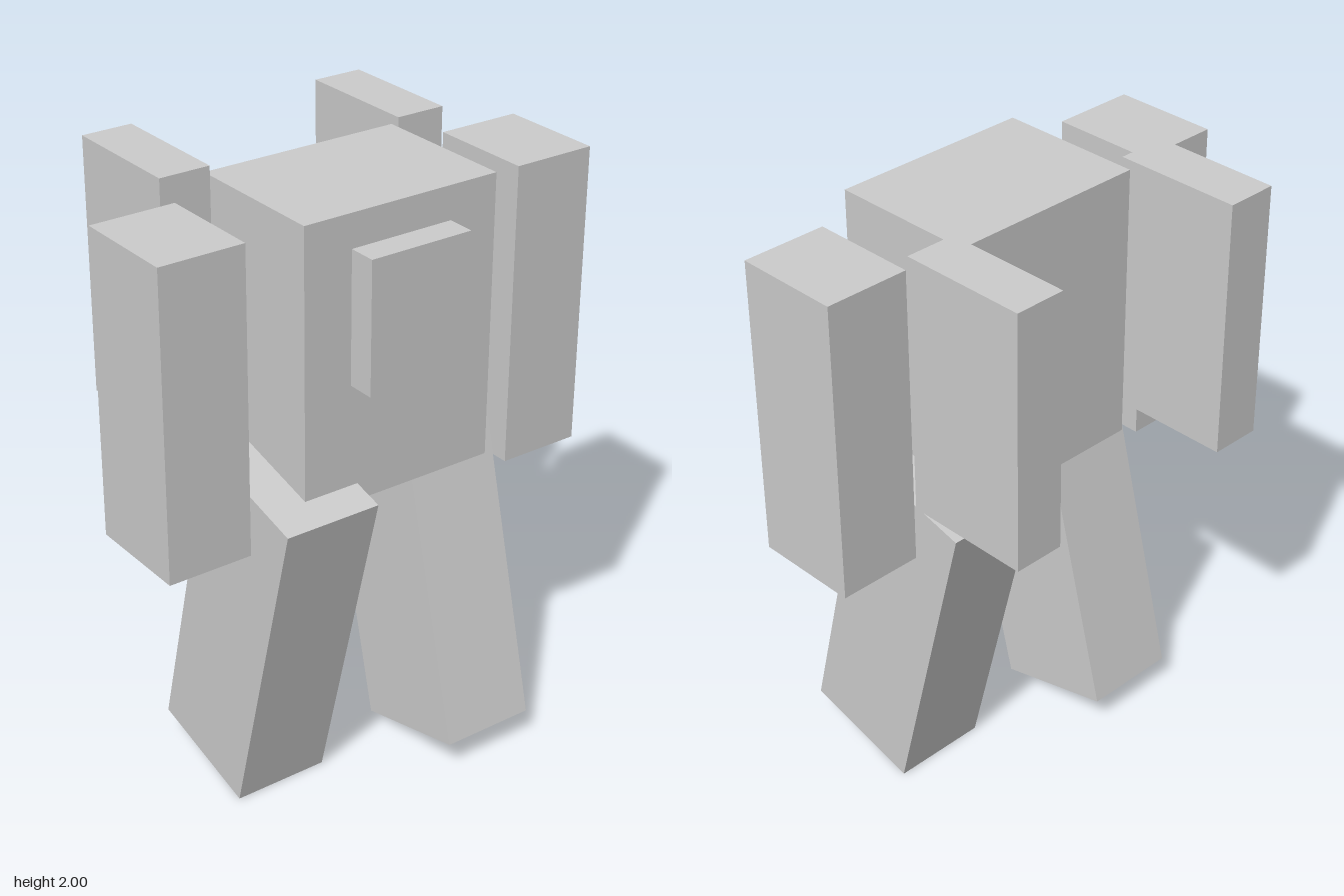
import * as THREE from 'three';

export function createModel() {
  const model = new THREE.Group();
  const grey = new THREE.MeshStandardMaterial({ color: 0xcccccc });
  grey.name = 'light grey';

  // Box given by its size and centre, with an optional tilt about x
  function block(name, size, centre, tilt = 0) {
    const mesh = new THREE.Mesh(new THREE.BoxGeometry(...size), grey);
    mesh.name = name;
    mesh.position.set(...centre);
    mesh.rotation.x = tilt;
    model.add(mesh);
  }

  // Body and the raised panel on its front
  block('torso', [0.672, 0.91, 0.488], [-0.002, 1.515, 0.144]);
  block('chestPanel', [0.348, 0.42, 0.12], [-0.003, 1.653, 0.42]);

  // Mirrored parts; the legs stride in opposite directions
  for (const [side, s] of [['left', 1], ['right', -1]]) {
    block(side + 'Arm', [0.278, 0.98, 0.35], [s * 0.619 - 0.001, 1.443, 0.143]);
    block(side + 'BackPod', [0.168, 0.836, 0.422], [s * 0.421 - 0.002, 1.582, -0.279]);
    block(side + 'Leg', [0.32, 1.125, 0.424], [s * 0.31 - 0.001, 0.598, 0.146], -s * 0.25);
  }
  return model;
}
